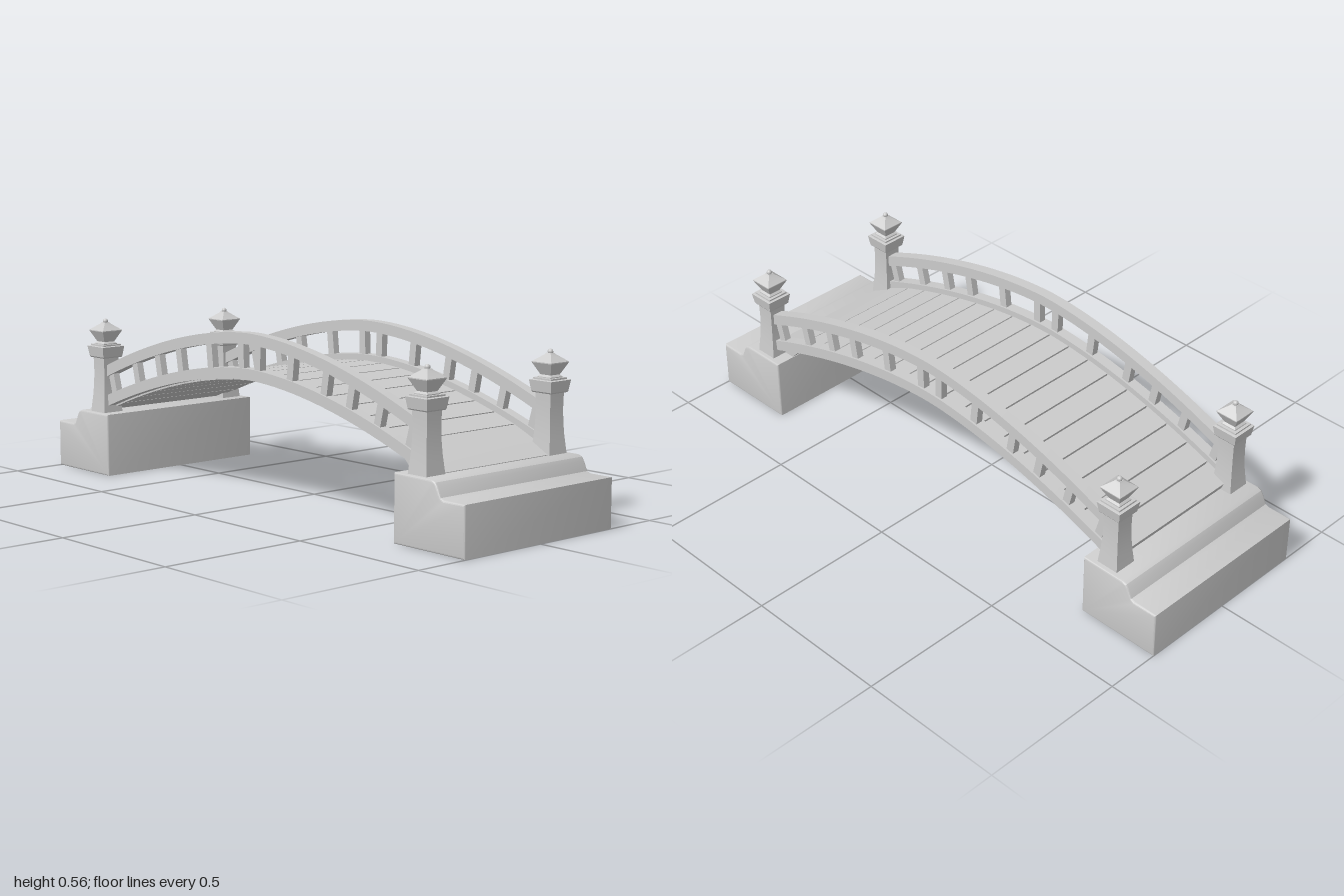
import * as THREE from 'three';
import { toCreasedNormals } from 'three/addons/utils/BufferGeometryUtils.js';

const grey = new THREE.MeshStandardMaterial({ color: 0xcccccc });
const RAIL_Z = 0.264;
const POST_X = 0.79;

// Height of an arched line: crown height minus a drop that grows toward the ends
const arch = (crown, drop) => (x) => crown - drop * Math.pow(Math.abs(x) / 0.765, 1.75);
const upperLine = arch(0.538, 0.182);
const lowerLine = arch(0.424, 0.172);
const deckLine = arch(0.411, 0.172);
const slope = (f, x) => Math.atan2(f(x + 0.01) - f(x - 0.01), 0.02);

function mesh(name, geometry, parent) {
  const m = new THREE.Mesh(geometry, grey);
  m.name = name;
  parent.add(m);
  return m;
}

// Extrudes a profile in x/y, centred on z = 0
function slab(points, depth, bevel = 0) {
  const shape = new THREE.Shape(points.map(([x, y]) => new THREE.Vector2(x, y)));
  const g = new THREE.ExtrudeGeometry(shape, {
    depth: depth - 2 * bevel, bevelEnabled: bevel > 0,
    bevelSize: bevel, bevelThickness: bevel, bevelOffset: -bevel, bevelSegments: 3,
  });
  g.translate(0, 0, -depth / 2 + bevel);
  return toCreasedNormals(g, 0.55);
}

// Constant-thickness beam that follows an arched line
function archBeam(line, half, end, depth) {
  const top = [], bottom = [], n = 48;
  for (let i = 0; i <= n; i++) {
    const x = -end + (2 * end * i) / n;
    const a = slope(line, x), y = line(x);
    top.push([x - Math.sin(a) * half, y + Math.cos(a) * half]);
    bottom.push([x + Math.sin(a) * half, y - Math.cos(a) * half]);
  }
  return slab([...bottom, ...top.reverse()], depth);
}

// Four-sided turned form from [half width, y] pairs, bottom to top
function squareLathe(profile) {
  const pts = profile.map(([h, y]) => new THREE.Vector2(h * Math.SQRT2, y));
  const g = new THREE.LatheGeometry(pts, 4, Math.PI / 4).toNonIndexed();
  g.deleteAttribute('normal');
  return toCreasedNormals(g, 0.3);
}

function createPost() {
  const post = new THREE.Group();
  mesh('postShaft', squareLathe([
    [0.0395, 0.205], [0.037, 0.23], [0.033, 0.27], [0.0305, 0.31],
    [0.0295, 0.35], [0.03, 0.38], [0.031, 0.41],
  ]), post);
  mesh('postCap', squareLathe([
    [0, 0.402], [0.037, 0.402], [0.04, 0.406], [0.0455, 0.441], [0.037, 0.443],
    [0.037, 0.448], [0, 0.448],
  ]), post);
  mesh('lanternBody', squareLathe([
    [0.027, 0.446], [0.027, 0.451], [0.021, 0.457], [0.04, 0.494], [0.04, 0.497],
    [0.012, 0.519], [0.009, 0.523], [0, 0.523],
  ]), post);
  const finial = mesh('finial', new THREE.SphereGeometry(0.009, 12, 8), post);
  finial.position.y = 0.527;
  return post;
}

export function createModel() {
  const bridge = new THREE.Group();
  bridge.name = 'archedFootbridge';

  // Stepped abutments at both ends
  const abutment = slab([
    [0.71, 0], [1, 0], [1, 0.16], [0.915, 0.16], [0.902, 0.165],
    [0.888, 0.195], [0.88, 0.207], [0.865, 0.213], [0.71, 0.213],
  ], 0.64, 0.006);
  for (const side of [1, -1]) {
    const a = mesh(side > 0 ? 'leftAbutment' : 'rightAbutment', abutment, bridge);
    if (side < 0) a.rotation.y = Math.PI;
  }

  // Deck planks, laid across the arch
  const deck = new THREE.Group();
  deck.name = 'deck';
  bridge.add(deck);
  const pitch = 0.0857;
  for (let i = 0; i < 17; i++) {
    const x0 = -0.797 + i * pitch, x1 = x0 + pitch;
    const dy = deckLine(x1) - deckLine(x0);
    const plank = mesh('plank', new THREE.BoxGeometry(Math.hypot(pitch, dy) - 0.005, 0.022, 0.5), deck);
    plank.position.set((x0 + x1) / 2, (deckLine(x0) + deckLine(x1)) / 2, 0);
    plank.rotation.z = Math.atan2(dy, pitch);
  }

  // Sloping ramp that closes the deck at the left end
  mesh('endRamp', slab([
    [0.664, 0.264], [0.72, 0.205], [0.82, 0.205], [0.82, 0.215], [0.74, 0.255], [0.664, 0.288],
  ], 0.5), bridge);

  // Railings with balusters square to the arch
  const upperRail = archBeam(upperLine, 0.018, 0.772, 0.037);
  const lowerRail = archBeam(lowerLine, 0.018, 0.772, 0.037);
  for (const side of [1, -1]) {
    const railing = new THREE.Group();
    railing.name = side > 0 ? 'frontRailing' : 'backRailing';
    railing.position.z = side * RAIL_Z;
    bridge.add(railing);
    mesh('upperRail', upperRail, railing);
    mesh('lowerRail', lowerRail, railing);
    for (const bx of [0.041, 0.2, 0.36, 0.475, 0.6, 0.735]) {
      for (const s of [1, -1]) {
        const x = s * bx;
        const a = slope(lowerLine, x);
        const baluster = mesh('baluster', new THREE.BoxGeometry(0.028, 0.1, 0.024), railing);
        baluster.position.set(x, (upperLine(x) + lowerLine(x)) / 2, 0);
        baluster.rotation.z = a * 0.75;
      }
    }
  }

  // Lantern-topped posts at the four corners
  for (const x of [POST_X, -POST_X]) {
    for (const z of [RAIL_Z, -RAIL_Z]) {
      const post = createPost();
      post.name = (z > 0 ? 'front' : 'back') + (x > 0 ? 'Left' : 'Right') + 'Post';
      post.position.set(x, 0, z);
      bridge.add(post);
    }
  }
  return bridge;
}
